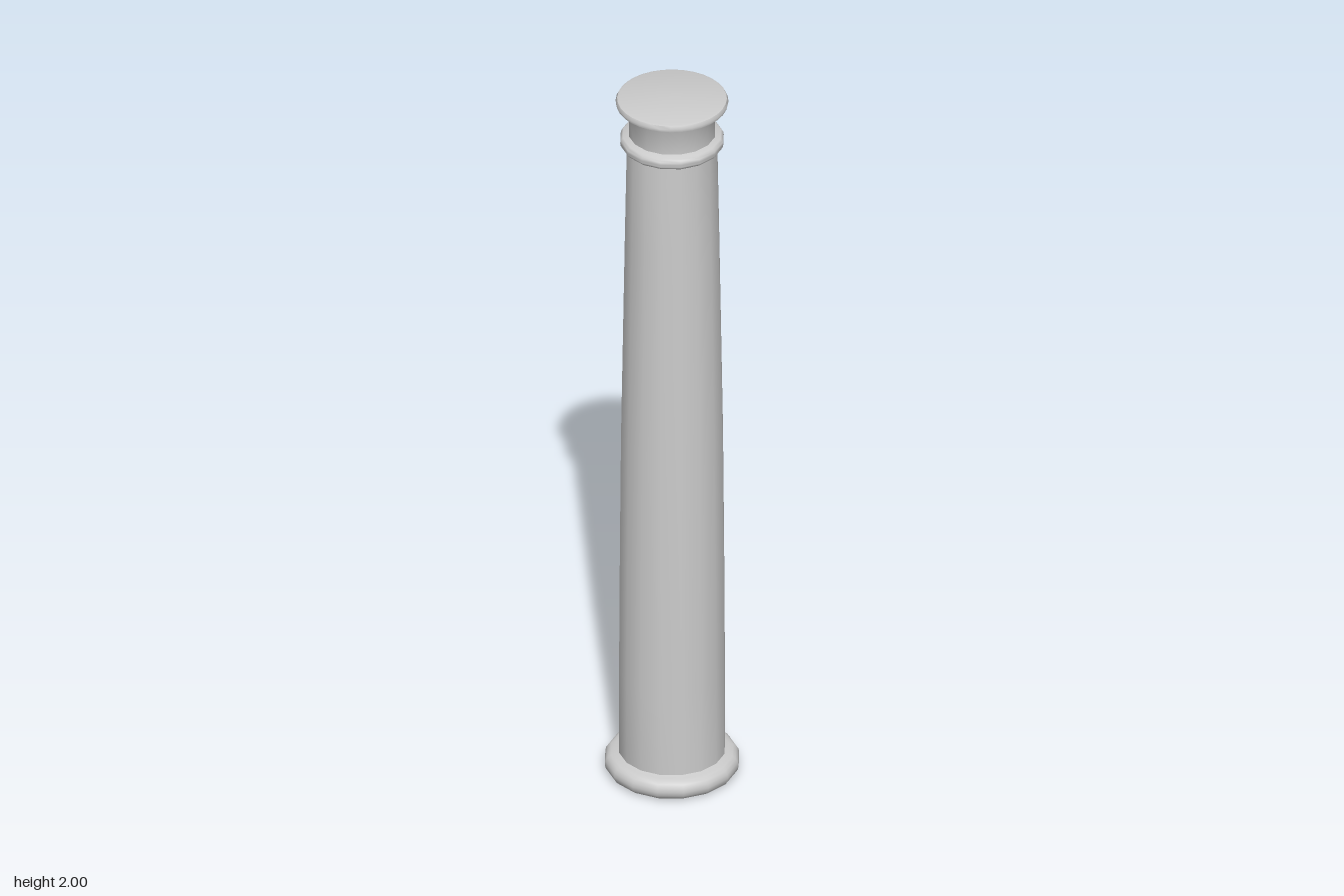
import * as THREE from 'three';
import { toCreasedNormals } from 'three/addons/utils/BufferGeometryUtils.js';

const SIDES = 16;
const material = new THREE.MeshStandardMaterial({ color: 0xcccccc });

// Turned part from [radius, height] pairs, listed bottom to top
function turned(name, profile, sides = SIDES) {
  const points = profile.map(([r, y]) => new THREE.Vector2(r, y));
  const geometry = toCreasedNormals(new THREE.LatheGeometry(points, sides), 0.75);
  const mesh = new THREE.Mesh(geometry, material);
  mesh.name = name;
  return mesh;
}

// Half-round moulding profile bulging out from radius inner to radius outer
function bulge(inner, outer, bottom, top, steps = 8) {
  const profile = [];
  for (let i = 0; i <= steps; i++) {
    const a = -Math.PI / 2 + (i / steps) * Math.PI;
    profile.push([
      inner + (outer - inner) * Math.cos(a),
      (bottom + top) / 2 + ((top - bottom) / 2) * Math.sin(a),
    ]);
  }
  return profile;
}

export function createModel() {
  const column = new THREE.Group();
  column.name = 'column';

  // Rounded foot with a closed underside
  column.add(turned('base', [[0, 0], ...bulge(0.148, 0.174, 0, 0.056), [0.134, 0.06]]));

  // Shaft with a slight swelling, narrowing upward
  column.add(turned('shaft', [
    [0.137, 0.05], [0.137, 0.3], [0.135, 0.65], [0.132, 1.0],
    [0.127, 1.3], [0.122, 1.6], [0.117, 1.87],
  ]));

  // Ring below the neck
  column.add(turned('collar', [[0.112, 1.858], ...bulge(0.122, 0.134, 1.86, 1.893), [0.108, 1.897]]));

  // Neck flaring out under the cap
  column.add(turned('neck', [[0.112, 1.88], [0.111, 1.965], [0.117, 1.974], [0.13, 1.98]]));

  // Thin cap with a flat top
  column.add(turned('cap', [
    [0.113, 1.968], [0.132, 1.976], [0.142, 1.982], [0.144, 1.99], [0.14, 1.998], [0.134, 2], [0, 2],
  ], 32));

  return column;
}
